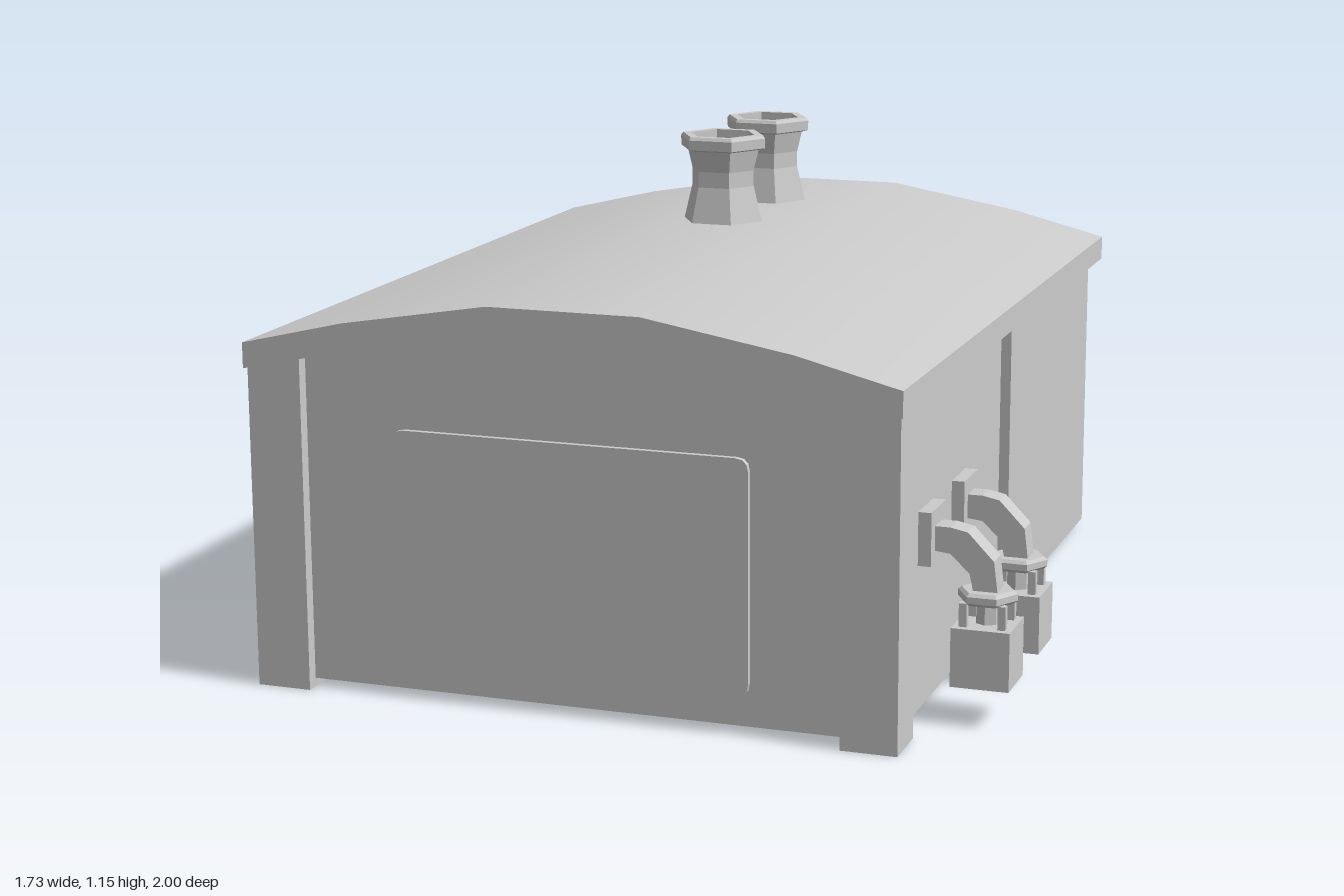
import * as THREE from 'three';

const mat = new THREE.MeshStandardMaterial({ color: 0xcccccc, flatShading: true, side: THREE.DoubleSide });
const smooth = new THREE.MeshStandardMaterial({ color: 0xcccccc, side: THREE.DoubleSide });

// Roof line and the inner line of the front arch, left to right
const ROOF = [[-0.87, 0.81], [-0.62, 0.87], [-0.27, 0.93], [0.09, 0.93], [0.44, 0.87], [0.68, 0.81]];
const ARCH = [[-0.73, 0.78], [-0.62, 0.805], [-0.27, 0.87], [0.09, 0.87], [0.44, 0.805], [0.545, 0.78]];

const vectors = (pts) => pts.map(([x, y]) => new THREE.Vector2(x, y));
const shapeOf = (pts) => new THREE.Shape(vectors(pts));

function add(parent, name, geometry, x = 0, y = 0, z = 0, material = mat) {
  const mesh = new THREE.Mesh(geometry, material);
  mesh.name = name;
  mesh.position.set(x, y, z);
  parent.add(mesh);
  return mesh;
}

// Box given by its limits, open at the bottom
function openBox(parent, name, [x0, x1], [y0, y1], [z0, z1]) {
  const g = new THREE.BoxGeometry(x1 - x0, y1 - y0, z1 - z0);
  const index = Array.from(g.index.array);
  index.splice(18, 6);
  g.setIndex(index);
  g.clearGroups();
  return add(parent, name, g, (x0 + x1) / 2, (y0 + y1) / 2, (z0 + z1) / 2);
}

// Flat sheet facing sideways
function sideSheet(parent, name, x, [y0, y1], [z0, z1]) {
  const sheet = new THREE.PlaneGeometry(z1 - z0, y1 - y0).rotateY(Math.PI / 2);
  return add(parent, name, sheet, x, (y0 + y1) / 2, (z0 + z1) / 2);
}

function roundedRect(x0, x1, y0, y1, r) {
  const s = new THREE.Shape();
  s.moveTo(x0 + r, y0);
  s.lineTo(x1 - r, y0);
  s.quadraticCurveTo(x1, y0, x1, y0 + r);
  s.lineTo(x1, y1 - r);
  s.quadraticCurveTo(x1, y1, x1 - r, y1);
  s.lineTo(x0 + r, y1);
  s.quadraticCurveTo(x0, y1, x0, y1 - r);
  s.lineTo(x0, y0 + r);
  s.quadraticCurveTo(x0, y0, x0 + r, y0);
  return s;
}

// Strip following a line, from one depth to another
function lineStrip(points, z0, z1) {
  const pos = [], index = [];
  points.forEach((p, i) => {
    pos.push(p.x, p.y, z0, p.x, p.y, z1);
    const a = 2 * i;
    if (i < points.length - 1) index.push(a, a + 2, a + 1, a + 2, a + 3, a + 1);
  });
  const g = new THREE.BufferGeometry();
  g.setAttribute('position', new THREE.Float32BufferAttribute(pos, 3));
  g.setIndex(index);
  g.computeVertexNormals();
  return g;
}

// Double-shelled roof, open at the back end
function buildRoof() {
  const roof = new THREE.Group();
  roof.name = 'roof';
  const lower = ROOF.map(([x, y]) => [x, y - 0.06]);
  add(roof, 'roofSheet', lineStrip(vectors(ROOF), 1, -1), 0, 0, 0, smooth);
  add(roof, 'ceiling', lineStrip(vectors(lower), -1, 1), 0, 0, 0, smooth);
  add(roof, 'frontFascia', new THREE.ShapeGeometry(shapeOf([...ROOF, ...lower.reverse()])), 0, 0, 1);
  for (const x of [-0.87, 0.68]) sideSheet(roof, 'eaveFascia', x, [0.75, 0.81], [-1, 1]);
  return roof;
}

function buildWalls() {
  const walls = new THREE.Group();
  walls.name = 'walls';
  const archBack = [...ARCH].reverse();

  // Front wall with a slightly raised panel, hollow behind
  const wall = shapeOf([[-0.73, 0.02], [0.545, 0.02], ...archBack]);
  const panel = roundedRect(-0.515, 0.33, 0.09, 0.63, 0.03);
  const outline = panel.getPoints(3);
  wall.holes.push(new THREE.Path(outline.slice(0, -1)));
  add(walls, 'frontWall', new THREE.ShapeGeometry(wall), 0, 0, 0.967);
  add(walls, 'panelEdge', lineStrip(outline, 0.967, 0.98));
  add(walls, 'frontPanel', new THREE.ShapeGeometry(panel, 3), 0, 0, 0.98);

  // Posts and arch as one flat frame, with its inner edge
  const top = ROOF.map(([x, y]) => [Math.max(-0.86, Math.min(0.675, x)), y - 0.003]);
  const frame = shapeOf([...top, [0.675, 0], [0.545, 0], ...archBack, [-0.73, 0], [-0.86, 0]]);
  add(walls, 'frontFrame', new THREE.ShapeGeometry(frame), 0, 0, 0.997);
  add(walls, 'frameInnerEdge', lineStrip(vectors(ARCH), 0.967, 0.997));
  sideSheet(walls, 'leftPostReturn', -0.73, [0, 0.78], [0.87, 0.997]);

  // Side wall with its posts
  sideSheet(walls, 'sideWall', 0.65, [0.02, 0.755], [-0.97, 0.967]);
  openBox(walls, 'cornerPost', [0.545, 0.675], [0, 0.755], [0.87, 0.995]);
  openBox(walls, 'middlePost', [0.585, 0.675], [0, 0.755], [-0.115, 0.015]);
  return walls;
}

// Hexagonal hollow chimney
function buildVent(z) {
  const profile = [[0.105, 0.93], [0.083, 1.02], [0.083, 1.06], [0.096, 1.113], [0.113, 1.118],
    [0.114, 1.143], [0.108, 1.151], [0.085, 1.151], [0.085, 1.09], [0, 1.09]];
  const vent = new THREE.Mesh(new THREE.LatheGeometry(vectors(profile), 6, Math.PI / 2), mat);
  vent.name = 'roofVent';
  vent.position.set(-0.16, 0, z);
  return vent;
}

// Wall pipe bending down to a hanging box
function buildPipe(z) {
  const pipe = new THREE.Group();
  pipe.name = 'wallPipe';
  pipe.position.z = z;
  add(pipe, 'wallPlate', new THREE.BoxGeometry(0.03, 0.123, 0.124), 0.665, 0.4215, 0);
  const elbow = shapeOf([[0.67, 0.445], [0.715, 0.445], [0.755, 0.437], [0.815, 0.375], [0.825, 0.295],
    [0.77, 0.295], [0.76, 0.343], [0.715, 0.385], [0.67, 0.39]]);
  add(pipe, 'elbow', new THREE.ExtrudeGeometry(elbow, { depth: 0.06, bevelEnabled: false }), 0, 0, -0.03);

  const collar = [[0, 0.276], [0.06, 0.276], [0.068, 0.283], [0.068, 0.298], [0.06, 0.305], [0, 0.305]];
  add(pipe, 'collar', new THREE.LatheGeometry(vectors(collar), 6, Math.PI / 2), 0.795);
  add(pipe, 'neck', new THREE.CylinderGeometry(0.026, 0.026, 0.06, 6), 0.795, 0.25, 0);
  for (const sx of [-1, 1]) {
    for (const sz of [-1, 1]) {
      add(pipe, 'bolt', new THREE.BoxGeometry(0.018, 0.06, 0.018), 0.795 + sx * 0.044, 0.25, sz * 0.042);
    }
  }
  openBox(pipe, 'hangingBox', [0.728, 0.862], [0.09, 0.226], [-0.067, 0.067]);
  return pipe;
}

export function createModel() {
  const model = new THREE.Group();
  model.name = 'shed';
  model.add(buildRoof(), buildWalls());
  for (const z of [-0.27, -0.635]) model.add(buildVent(z));
  for (const z of [0.695, 0.407]) model.add(buildPipe(z));
  // Centre across the width
  model.position.x = 0.004;
  return model;
}
